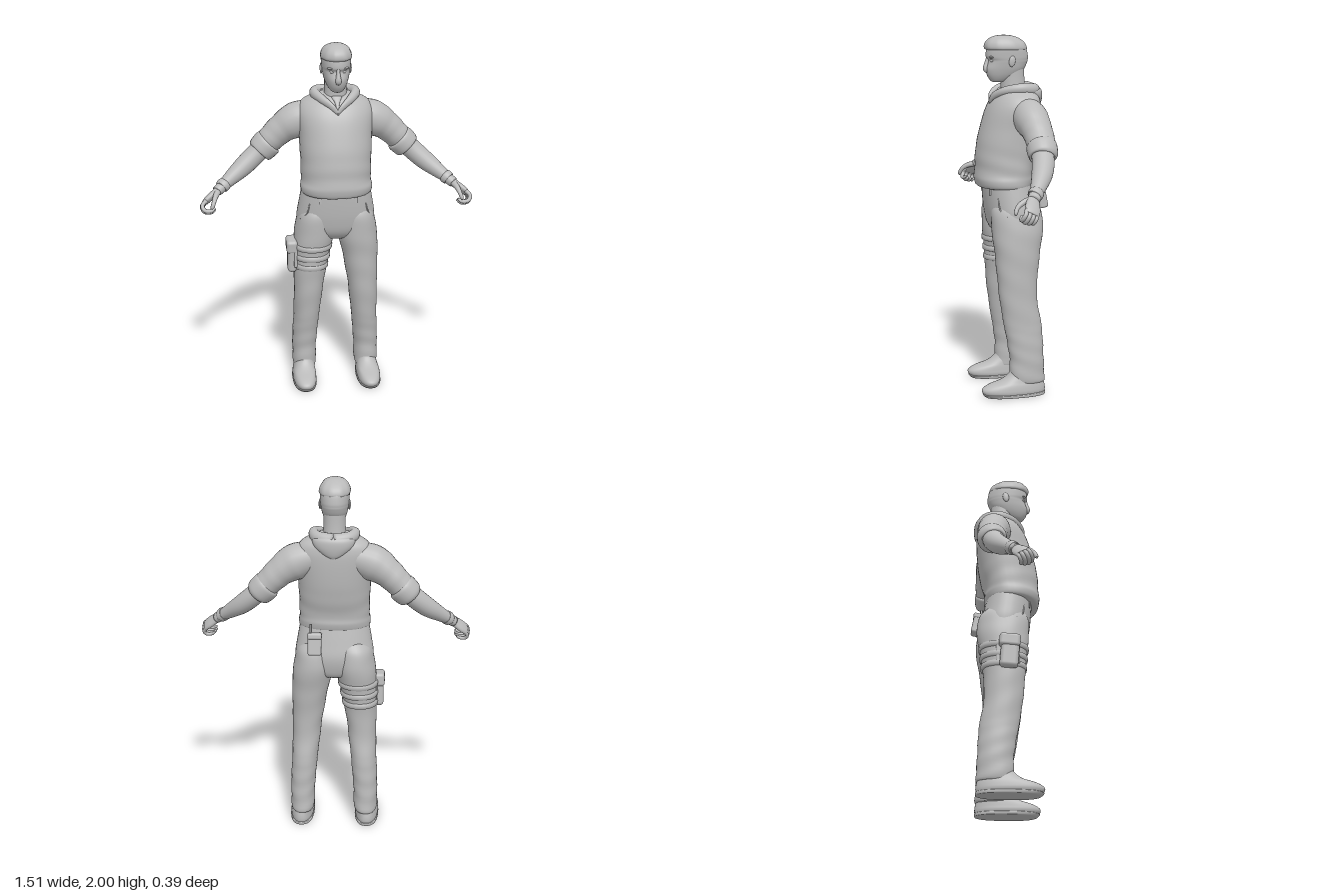
import * as THREE from 'three';
import { RoundedBoxGeometry } from 'three/addons/geometries/RoundedBoxGeometry.js';

const V = (x, y, z) => new THREE.Vector3(x, y, z);

// Closed skin over a list of rings, each ring an array of Vector3
function skin(rings) {
  const n = rings[0].length, pos = [], idx = [];
  rings.forEach(r => r.forEach(p => pos.push(p.x, p.y, p.z)));
  for (let i = 0; i < rings.length - 1; i++) for (let j = 0; j < n; j++) {
    const a = i * n + j, b = i * n + (j + 1) % n;
    idx.push(a, b, a + n, b, b + n, a + n);
  }
  [0, rings.length - 1].forEach(i => {
    const c = rings[i].reduce((s, p) => s.add(p), V(0, 0, 0)).divideScalar(n);
    const k = pos.length / 3;
    pos.push(c.x, c.y, c.z);
    for (let j = 0; j < n; j++) {
      const a = i * n + j, b = i * n + (j + 1) % n;
      i ? idx.push(a, b, k) : idx.push(b, a, k);
    }
  });
  const g = new THREE.BufferGeometry();
  g.setAttribute('position', new THREE.Float32BufferAttribute(pos, 3));
  g.setIndex(idx);
  g.computeVertexNormals();
  return g;
}

// Smooth blend through sections of up to six numbers
function blend(sections, steps) {
  const curve = o => new THREE.CatmullRomCurve3(
    sections.map(s => V(s[o], s[o + 1] ?? 0, s[o + 2] ?? 0)), false, 'catmullrom', 0.5);
  const a = curve(0), b = curve(3), count = (sections.length - 1) * steps;
  return Array.from({ length: count + 1 }, (_, i) => {
    const t = i / count;
    return { p: a.getPoint(t), q: b.getPoint(t), t, tangent: a.getTangent(t) };
  });
}

// Upright loft, sections rising: [y, centre x, widest z, half width, front z, back z]
function upright(sections, { power = 2.2, fold = () => 0, steps = 5, sides = 40 } = {}) {
  const e = 2 / power, pw = v => Math.sign(v) * Math.abs(v) ** e;
  return skin(blend(sections, steps).map(({ p, q }) => Array.from({ length: sides }, (_, j) => {
    const f = j / sides * Math.PI * 2, k = 1 + fold(p.x, f);
    const s = pw(Math.sin(f)), c = pw(Math.cos(f));
    return V(p.y + q.x * c * k, p.x, p.z - s * k * (s > 0 ? p.z - q.z : q.y - p.z));
  })));
}

// Limb along a path: [x, y, z, radius across, radius along ref]
function limb(sections, { ref = V(0, 0, 1), fold = () => 0, steps = 5, sides = 24 } = {}) {
  return skin(blend(sections, steps).map(({ p, q, t, tangent }) => {
    const N = V(0, 0, 0).crossVectors(ref, tangent).normalize();
    const B = V(0, 0, 0).crossVectors(tangent, N);
    return Array.from({ length: sides }, (_, j) => {
      const f = j / sides * Math.PI * 2, k = 1 + fold(t, f);
      return p.clone().addScaledVector(N, Math.cos(f) * q.x * k).addScaledVector(B, Math.sin(f) * q.y * k);
    });
  }));
}

const ellipsoid = (x, y, z, a, b, c, tilt = 0) =>
  new THREE.SphereGeometry(1, 24, 16).scale(a, b, c).rotateX(tilt).translate(x, y, z);

function mirror(geometry) {
  const g = geometry.clone().scale(-1, 1, 1);
  const ix = g.index.array;
  for (let i = 0; i < ix.length; i += 3) [ix[i], ix[i + 1]] = [ix[i + 1], ix[i]];
  g.computeVertexNormals();
  return g;
}

export function createModel() {
  const model = new THREE.Group();
  model.name = 'standingMan';
  const grey = new THREE.MeshStandardMaterial({ color: 0xbbbbbb });
  grey.name = 'plainGrey';
  const add = (name, g) => {
    const m = new THREE.Mesh(g, grey);
    m.name = name;
    model.add(m);
  };
  const pair = (name, g) => { add(name + 'Left', g); add(name + 'Right', mirror(g)); };

  // Head and neck
  add('neck', upright([[1.62, 0, -.03, .08, .05, -.1], [1.7, 0, -.02, .064, .05, -.088],
    [1.76, 0, -.015, .06, .05, -.082], [1.83, 0, -.015, .06, .05, -.08]]));
  add('head', upright([[1.744, 0, .07, .018, .095, .04], [1.752, 0, .055, .036, .108, .01],
    [1.78, 0, .03, .055, .126, -.045], [1.815, 0, .01, .068, .134, -.08], [1.85, 0, .01, .075, .124, -.097],
    [1.865, 0, .01, .077, .122, -.1], [1.885, 0, .01, .079, .133, -.101], [1.93, 0, .015, .08, .128, -.092],
    [1.965, 0, .02, .069, .112, -.07], [1.985, 0, .025, .048, .085, -.035], [1.996, 0, .03, .018, .05, .008]]));
  add('nose', limb([[0, 1.885, .12, .009, .01], [0, 1.85, .127, .011, .014],
    [0, 1.818, .136, .016, .014], [0, 1.8, .127, .012, .01]], { ref: V(0, 0, 1) }));
  add('hair', upright([[1.915, 0, 0, .06, .1, -.08], [1.925, 0, .015, .084, .137, -.094],
    [1.955, 0, .02, .08, .138, -.083], [1.982, 0, .03, .061, .115, -.05], [1.996, 0, .035, .035, .08, -.01],
    [2, 0, .035, .012, .05, .02]], { fold: (y, f) => .015 * Math.sin(f * 10) }));
  pair('eye', ellipsoid(.031, 1.862, .108, .014, .008, .01));
  pair('brow', ellipsoid(.034, 1.882, .112, .026, .007, .013));
  pair('ear', ellipsoid(.079, 1.86, .005, .008, .03, .018, -.15));

  // Sweater with a rolled hem
  add('sweater', upright([[1.165, 0, .02, .17, .165, -.09], [1.175, 0, .02, .194, .188, -.108],
    [1.21, 0, .02, .2, .197, -.117], [1.25, 0, .01, .194, .195, -.115], [1.33, 0, 0, .195, .191, -.135],
    [1.42, 0, -.01, .199, .18, -.152], [1.5, 0, -.03, .203, .16, -.16], [1.58, 0, -.05, .212, .135, -.163],
    [1.63, 0, -.06, .207, .112, -.16], [1.67, 0, -.06, .18, .085, -.15], [1.7, 0, -.05, .125, .06, -.125],
    [1.72, 0, -.04, .07, .03, -.09]],
  { power: 2.25, fold: (y, f) => .012 * Math.sin(y * 55 + 3 * Math.sin(f)) * Math.max(0, 1 - Math.abs(y - 1.28) / .14) }));
  pair('sleeve', limb([[.1, 1.59, -.06, .085, .085], [.21, 1.556, -.066, .1, .094],
    [.288, 1.508, -.077, .083, .084], [.35, 1.45, -.083, .074, .078], [.405, 1.395, -.083, .064, .07]],
  { fold: (t, f) => .018 * Math.sin(t * 34 + 2 * Math.sin(f)) * t }));
  pair('sleeveCuff', limb([[.355, 1.438, -.083, .062, .066], [.365, 1.429, -.083, .079, .081],
    [.39, 1.405, -.082, .08, .082], [.415, 1.382, -.08, .073, .076], [.421, 1.376, -.079, .055, .058]]));

  // Lowered hood and open neckline
  pair('hoodCollar', limb([[0, 1.635, .112, .006, .01], [.035, 1.672, .098, .012, .018],
    [.082, 1.7, .045, .022, .024], [.112, 1.712, -.035, .026, .03], [.085, 1.705, -.11, .032, .034],
    [0, 1.692, -.135, .036, .04]], { ref: V(0, 1, 0) }));
  add('hoodDrape', upright([[1.595, 0, -.145, .015, -.13, -.16], [1.62, 0, -.135, .06, -.1, -.172],
    [1.66, 0, -.12, .105, -.06, -.178], [1.7, 0, -.11, .115, -.06, -.173], [1.722, 0, -.1, .09, -.06, -.15]]));
  add('neckOpening', limb([[0, 1.625, .116, .004, .004], [0, 1.68, .082, .012, .006],
    [0, 1.71, .05, .03, .01]]));

  // Forearm and wristband
  pair('forearm', limb([[.37, 1.43, -.08, .055, .058], [.44, 1.363, -.072, .056, .06],
    [.51, 1.303, -.047, .053, .056], [.575, 1.255, -.012, .042, .044], [.625, 1.219, .018, .032, .034],
    [.66, 1.193, .04, .029, .034]]));
  pair('wristband', limb([[.612, 1.229, .01, .03, .032], [.616, 1.226, .013, .038, .04],
    [.634, 1.213, .024, .037, .04], [.638, 1.21, .027, .028, .03]]));

  // Hand: x runs to the knuckles, y towards the thumb, z into the palm
  const d = V(.78, -.56, .28).normalize();
  const w = V(0, .45, .9).addScaledVector(d, -V(0, .45, .9).dot(d)).normalize();
  const hand = new THREE.Matrix4().makeBasis(d, w, V(0, 0, 0).crossVectors(d, w)).setPosition(.645, 1.205, .033);
  pair('palm', limb([[-.01, 0, 0, .026, .026], [.03, .002, .002, .022, .035], [.075, 0, .002, .02, .043],
    [.11, 0, .004, .016, .041], [.118, 0, .006, .009, .034]], { ref: V(0, 1, 0) }).applyMatrix4(hand));
  [.031, .011, -.01, -.03].forEach((k, i) => {
    const s = [1, 1.06, 1, .88][i], r = [.0115, .012, .0115, .01][i];
    pair('finger' + (i + 1), limb([[.1, k, .004, r, r], [.1 + .035 * s, k, .012, r, r],
      [.1 + .043 * s, k, .042 * s, r, r], [.1 + .018 * s, k * .9, .066 * s, r * .9, r * .9],
      [.1 - .008 * s, k * .85, .066 * s, r * .6, r * .6]], { ref: V(0, 1, 0), sides: 12 }).applyMatrix4(hand));
  });
  pair('thumb', limb([[.02, .02, .008, .016, .018], [.048, .05, .022, .015, .015], [.075, .066, .04, .012, .012],
    [.1, .066, .056, .011, .011], [.112, .062, .062, .006, .006]], { ref: V(0, 0, 1), sides: 12 }).applyMatrix4(hand));

  // Trousers
  add('trouserSeat', upright([[.885, 0, -.01, .05, .04, -.07], [.905, 0, -.01, .13, .085, -.115],
    [.95, 0, -.01, .205, .12, -.135], [1.02, 0, -.01, .219, .138, -.143], [1.1, 0, 0, .208, .148, -.128],
    [1.2, 0, .01, .19, .155, -.105]]));
  const legFold = (y, f) => (y < .4 ? .035 * (1 - y / .5) : .01) * Math.sin(y * (y < .4 ? 62 : 40) + 2.5 * Math.sin(f) + Math.cos(f));
  pair('trouserLeg', upright([[.075, .18, -.05, .054, .03, -.14], [.09, .18, -.05, .066, .043, -.155],
    [.2, .18, -.055, .068, .042, -.15], [.3, .175, -.045, .071, .055, -.147], [.4, .168, -.035, .073, .072, -.14],
    [.5, .161, -.02, .078, .088, -.122], [.6, .155, -.01, .083, .1, -.116], [.7, .147, -.01, .092, .108, -.123],
    [.8, .138, -.01, .101, .116, -.135], [.9, .125, -.01, .111, .126, -.152], [.98, .117, -.01, .107, .132, -.159],
    [1.05, .11, -.01, .1, .126, -.145], [1.1, .1, 0, .08, .1, -.11]], { fold: legFold }));
  pair('pocketSeam', limb([[.155, 1.12, .103, .003, .003], [.172, 1.06, .096, .004, .004],
    [.205, 1.02, .06, .003, .003]], { sides: 8 }));
  pair('beltLoop', new THREE.BoxGeometry(.014, .05, .012).translate(.1, 1.155, .134));

  // Shoes
  pair('shoe', upright([[.002, .187, 0, .052, .17, -.145], [.008, .187, .02, .06, .183, -.153],
    [.03, .187, .03, .067, .203, -.157], [.05, .187, .03, .066, .2, -.156], [.07, .186, .02, .063, .165, -.152],
    [.09, .184, 0, .058, .1, -.147], [.12, .182, -.03, .052, .055, -.142], [.16, .18, -.05, .045, .03, -.13]],
  { power: 2.3 }));
  pair('shoeSole', upright([[0, .187, .015, .06, .175, -.15], [.003, .187, .015, .067, .185, -.157],
    [.016, .187, .025, .069, .2, -.159], [.02, .187, .025, .064, .196, -.154]], { power: 2.4 }));

  // Thigh holster with three straps on the right leg
  [.735, .79, .85].forEach((y, i) => {
    const grow = (y - .8) * .1;
    const ring = (h, o) => [y + h, -.138 + grow, -.01, .101 + grow + o, .116 + grow + o, -.135 - grow - o];
    add('thighStrap' + (i + 1), upright([ring(-.016, -.01), ring(-.014, .006), ring(.014, .006), ring(.016, -.01)], { steps: 2 }));
  });
  const box = (name, size, at, tilt = 0, r = .012) =>
    add(name, new RoundedBoxGeometry(...size, 3, r).rotateX(tilt).translate(...at));
  box('holster', [.05, .18, .1], [-.252, .79, .02], .08, .02);
  box('holsterFlap', [.062, .075, .115], [-.252, .855, .02], .08, .018);
  box('holsterPlate', [.02, .14, .13], [-.232, .8, .01], 0, .009);

  // Belt pouch with a clip at the back
  box('beltPouch', [.075, .115, .05], [.103, 1.11, -.155], .2, .012);
  box('pouchFlap', [.08, .035, .058], [.103, 1.158, -.146], .2, .012);
  add('pouchClip', new THREE.CylinderGeometry(.006, .006, .07, 10).translate(.125, 1.185, -.128));

  return model;
}
